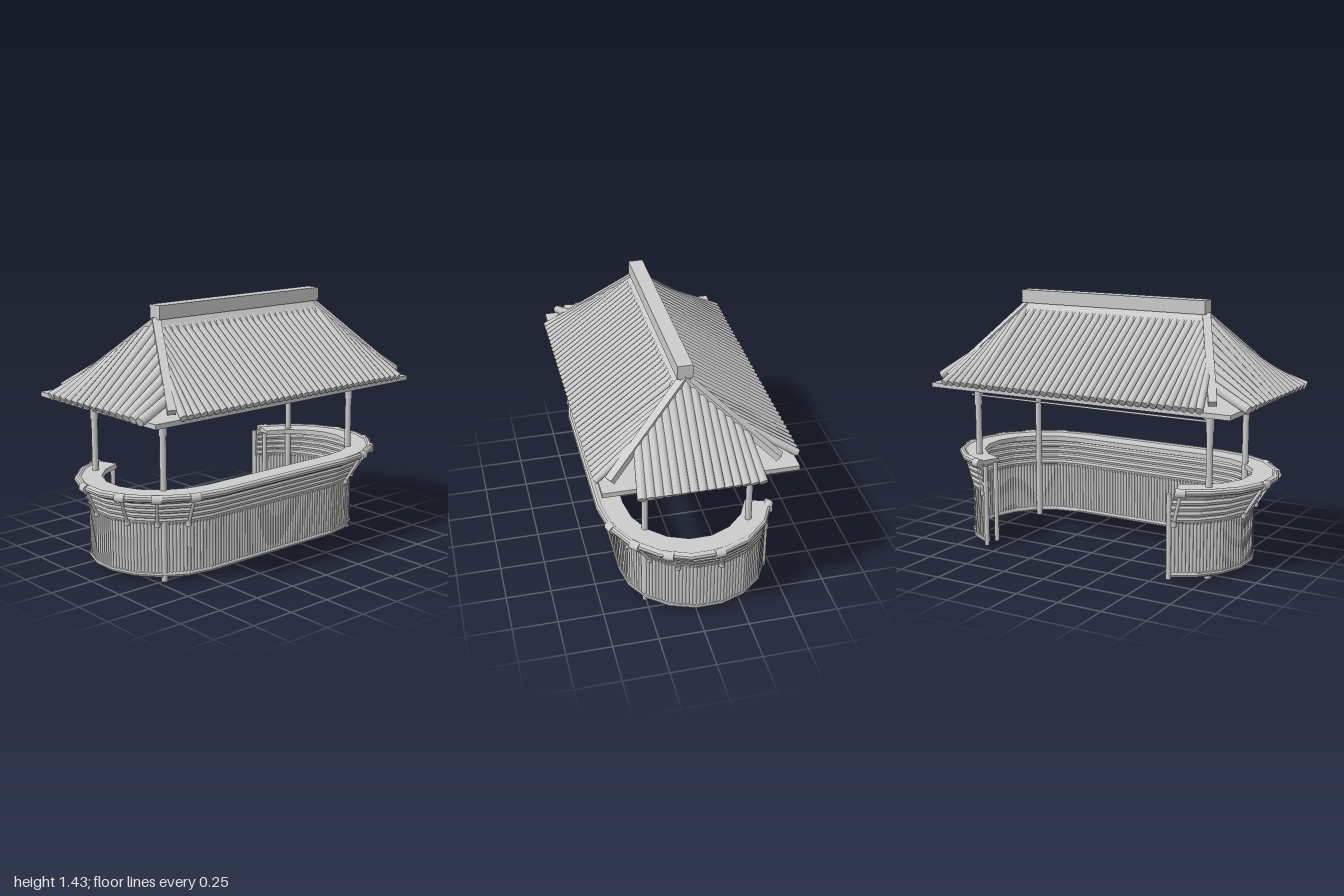
import * as THREE from 'three';

const V = (x, y, z) => new THREE.Vector3(x, y, z);
const material = new THREE.MeshStandardMaterial({ color: 0xcccccc });
const flat = new THREE.MeshStandardMaterial({ color: 0xcccccc, flatShading: true });

function mesh(parent, name, geometry, mat = material) {
  const m = new THREE.Mesh(geometry, mat);
  m.name = name;
  parent.add(m);
  return m;
}

function group(parent, name) {
  const g = new THREE.Group();
  g.name = name;
  parent.add(g);
  return g;
}

// Round pole from a to b
function rod(parent, name, a, b, ra, rb = ra, sides = 10) {
  const d = b.clone().sub(a);
  const m = mesh(parent, name, new THREE.CylinderGeometry(rb, ra, d.length(), sides));
  m.position.copy(a).add(b).multiplyScalar(0.5);
  m.quaternion.setFromUnitVectors(V(0, 1, 0), d.normalize());
  return m;
}

// Square beam from a to b
function beam(parent, name, a, b, w, h) {
  const m = mesh(parent, name, new THREE.BoxGeometry(w, h, a.distanceTo(b)));
  m.position.copy(a).add(b).multiplyScalar(0.5);
  m.lookAt(b);
  return m;
}

function box(parent, name, x0, x1, y0, y1, z0, z1) {
  const m = mesh(parent, name, new THREE.BoxGeometry(x1 - x0, y1 - y0, z1 - z0));
  m.position.set((x0 + x1) / 2, (y0 + y1) / 2, (z0 + z1) / 2);
  return m;
}

// Counter plan: straight front with rounded ends that curl round to the back.
// side: -1 or 1, angle from the front, t: flare 0..1, inset: distance inwards
function plan(side, degrees, t, inset, y) {
  const a = THREE.MathUtils.degToRad(degrees);
  return V(
    -0.01 + side * (0.45 + (0.4 + 0.11 * t - inset) * Math.sin(a)),
    y,
    -0.065 + 0.05 * t + (0.405 + 0.06 * t - inset) * Math.cos(a)
  );
}
const END = 161, STEPS = 8;
const stations = [];
for (let i = STEPS; i >= 0; i--) stations.push([-1, (END * i) / STEPS]);
for (let i = 0; i <= STEPS; i++) stations.push([1, (END * i) / STEPS]);

// Sweep a closed [outward, y] profile along the counter plan
function sweep(parent, name, t, profile) {
  const pos = [], index = [], n = profile.length;
  for (const [side, deg] of stations)
    for (const [out, y] of profile) pos.push(...plan(side, deg, t, -out, y).toArray());
  const last = stations.length - 1;
  for (let i = 0; i < last; i++)
    for (let j = 0; j < n; j++) {
      const k = (j + 1) % n, a = i * n + j, b = i * n + k;
      index.push(a, a + n, b, a + n, b + n, b);
    }
  for (let j = 1; j < n - 1; j++)
    index.push(0, j, j + 1, last * n, last * n + j + 1, last * n + j);
  const g = new THREE.BufferGeometry();
  g.setAttribute('position', new THREE.Float32BufferAttribute(pos, 3));
  g.setIndex(index);
  g.computeVertexNormals();
  return mesh(parent, name, g, flat);
}

const circle = (r, y, n = 10) => Array.from({ length: n }, (_, i) => {
  const a = (i / n) * Math.PI * 2;
  return [r * Math.cos(a), y + r * Math.sin(a)];
});

function buildCounter(root) {
  const counter = group(root, 'counter');
  sweep(counter, 'bottomRail', 0, circle(0.016, 0.037));
  sweep(counter, 'middleRail', 0, circle(0.01, 0.318, 6));
  sweep(counter, 'counterTop', 1, [[-0.13, 0.472], [0, 0.472], [0, 0.5], [-0.13, 0.5]]);
  sweep(counter, 'counterRim', 1, circle(0.02, 0.488));

  // Stacked horizontal canes leaning outwards
  for (let k = 0; k < 5; k++)
    sweep(counter, 'flaredCane', 0.6 * k / 4, circle(0.019, 0.337 + 0.032 * k, 8));

  // Vertical cane wall
  const wall = group(counter, 'caneWall');
  const path = new THREE.CurvePath();
  const pts = stations.map(([s, d]) => plan(s, d, 0, 0, 0));
  for (let i = 1; i < pts.length; i++) path.add(new THREE.LineCurve3(pts[i - 1], pts[i]));
  for (const p of path.getSpacedPoints(165))
    rod(wall, 'wallCane', V(p.x, 0.035, p.z), V(p.x, 0.322, p.z), 0.0105, 0.0105, 7);

  // Struts and collars holding the rim
  for (const side of [-1, 1])
    for (const deg of [20, 43, 66, 99, 158]) {
      const low = plan(side, deg, 0, -0.012, 0.315), high = plan(side, deg, 1, 0, 0.485);
      rod(counter, 'rimStrut', low, high, 0.009);
      rod(counter, 'strutCollar', low.clone().add(V(0, -0.012, 0)), low.clone().add(V(0, 0.018, 0)), 0.015);
      const along = plan(side, deg + 2, 1, 0, 0).sub(plan(side, deg - 2, 1, 0, 0)).setLength(0.028);
      rod(counter, 'rimCollar', high.clone().sub(along), high.clone().add(along), 0.025);
    }

  // Legs at the open back ends
  for (const x of [-0.59, 0.57])
    for (const z of [-0.36, -0.457])
      rod(counter, 'endLeg', V(x, 0.015, z), V(x, 0.48, z), 0.014);
}

function buildFrame(root) {
  const frame = group(root, 'frame');
  for (const [x, z] of [[-0.705, 0.25], [0.675, 0.25], [-0.745, -0.305], [0.72, -0.305]]) {
    rod(frame, 'post', V(x, 0, z), V(x, 0.92, z), 0.018, 0.018, 12);
    rod(frame, 'postCollar', V(x, 0.79, z), V(x, 0.915, z), 0.022, 0.022, 12);
    rod(frame, 'sideBrace', V(x, 0.83, z), V(x - Math.sign(x) * 0.085, 0.915, z), 0.006);
    rod(frame, 'depthBrace', V(x, 0.83, z), V(x, 0.915, z - Math.sign(z) * 0.1), 0.006);
  }
  for (const z of [0.25, -0.305])
    rod(frame, 'tieBar', V(-0.76, 0.845, z), V(0.765, 0.845, z), 0.006);
}

function buildRoof(root) {
  const roof = group(root, 'roof');
  box(roof, 'roofPlate', -0.95, 0.89, 0.91, 0.936, -0.51, 0.51);
  box(roof, 'ridgeBeam', -0.57, 0.6, 1.355, 1.43, -0.02, 0.062);
  for (const s of [-1, 1]) {
    const board = box(roof, 'ridgeBoard', -0.57, 0.6, 1.28, 1.365, -0.008, 0.008);
    board.position.z = 0.02 + s * 0.037;
    board.rotation.x = -s * 0.65;
  }

  // Point on a hip line, h = 0 at the ridge and 1 at the corner
  const hip = (sx, sz, h) => V(0.01 + sx * (0.57 + 0.25 * h), 1.335 - 0.385 * h, 0.02 + sz * 0.44 * h);
  for (const sx of [-1, 1])
    for (const sz of [-1, 1]) {
      const a = hip(sx, sz, 0), b = hip(sx, sz, 1);
      beam(roof, 'hipRafter', a.add(V(0, 0.015, 0)), b.add(V(0, 0.015, 0)), 0.045, 0.035);
    }

  // Front and back canes, fanning out beyond the ridge ends
  const COUNT = 36;
  for (const sz of [-1, 1])
    for (let i = 0; i <= COUNT; i++) {
      const x = -0.79 + (1.58 * i) / COUNT, sx = Math.sign(x) || 1;
      const h = Math.max(0, (Math.abs(x) - 0.57) / 0.22) * 0.5;
      const top = h > 0 ? hip(sx, sz, h) : V(x, 1.335, 0.02);
      rod(roof, 'slopeCane', top, V(x, 0.945, sz * 0.53), 0.022, 0.02, 8);
    }

  // End canes, running down from the hips past the plate
  for (const [sx, z0, z1] of [[-1, -0.36, 0.43], [1, -0.29, 0.33]])
    for (let i = 0; i <= 14; i++) {
      const z = z0 + ((z1 - z0) * i) / 14;
      const sz = z < 0.02 ? -1 : 1;
      const top = hip(sx, sz, Math.min(0.85, Math.abs(z - 0.02) / 0.5));
      rod(roof, 'endCane', top, V(sx * 0.985, 0.938, z), 0.027, 0.024, 8);
    }
}

export function createModel() {
  const root = new THREE.Group();
  root.name = 'beachBar';
  buildCounter(root);
  buildFrame(root);
  buildRoof(root);
  return root;
}
